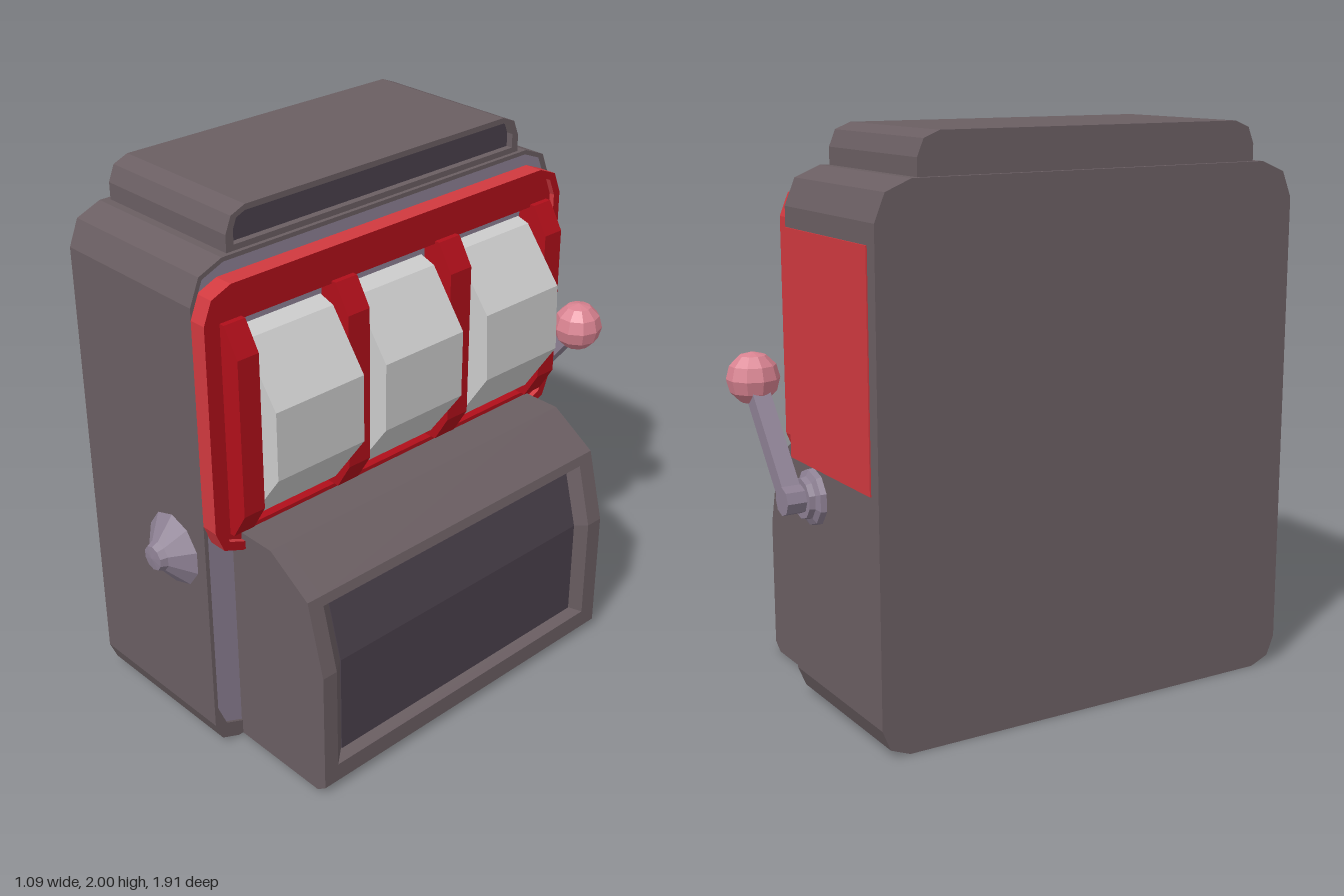
import * as THREE from 'three';

const mat = (color, side = THREE.FrontSide) => new THREE.MeshStandardMaterial({ color, flatShading: true, side });

export function createModel() {
  const model = new THREE.Group();
  const shell = mat(0x6a5e62), shellDouble = mat(0x6a5e62, THREE.DoubleSide);
  const dark = mat(0x4a404b), lilac = mat(0x8d8093);
  const brightRed = mat(0xd0393f), deepRed = mat(0xb00f1a), white = mat(0xcccccc), pink = mat(0xd98391);

  const add = (name, geometry, material) => {
    const mesh = new THREE.Mesh(geometry, material);
    mesh.name = name;
    model.add(mesh);
    return mesh;
  };

  // Rectangle in the z-y plane with corners cut in two steps
  const outline = (Type, z0, z1, y0, y1, r, rBottom = r) => {
    const k = 0.29;
    const corners = [[-z1, y0, 1, 1, rBottom], [-z0, y0, -1, 1, rBottom], [-z0, y1, -1, -1, r], [-z1, y1, 1, -1, r]];
    const pts = [];
    corners.forEach(([u, v, su, sv, c], i) => {
      if (!c) return pts.push(new THREE.Vector2(u, v));
      const arc = [[0, c], [k * c, k * c], [c, 0]];
      if (i % 2) arc.reverse();
      arc.forEach(([a, b]) => pts.push(new THREE.Vector2(u + su * a, v + sv * b)));
    });
    return new Type(pts);
  };

  // Slab running along x from x0 to x1
  const slab = (name, x0, x1, shape, material, holes = []) => {
    shape.holes = holes;
    const g = new THREE.ExtrudeGeometry(shape, { depth: x1 - x0, bevelEnabled: false });
    g.rotateY(Math.PI / 2).translate(x0, 0, 0);
    return add(name, g, material);
  };

  // Side profile (x, y) running along z
  const profile = (name, pts, z0, z1, material) => {
    const shape = new THREE.Shape(pts.map(p => new THREE.Vector2(...p)));
    const g = new THREE.ExtrudeGeometry(shape, { depth: z1 - z0, bevelEnabled: false });
    return add(name, g.translate(0, 0, z0), material);
  };

  // Cabinet with a raised front lip around a lilac inset
  slab('cabinet', -0.55, 0.07, outline(THREE.Shape, -0.78, 0.86, 0, 1.86, 0.13, 0.1), shell);
  slab('cabinetLip', 0.07, 0.095, outline(THREE.Shape, -0.78, 0.86, 0, 1.86, 0.13, 0.1), shell,
    [outline(THREE.Path, -0.765, 0.845, 0.05, 1.845, 0.12)]);
  slab('cabinetInset', 0.07, 0.085, outline(THREE.Shape, -0.765, 0.845, 0.05, 1.845, 0.12), lilac);

  // Top sign with a recessed panel
  slab('topSign', -0.53, 0.05, outline(THREE.Shape, -0.62, 0.70, 1.8, 2, 0.08, 0), shell);
  slab('topSignRim', 0.05, 0.08, outline(THREE.Shape, -0.62, 0.70, 1.8, 2, 0.08, 0), shell,
    [outline(THREE.Path, -0.59, 0.67, 1.88, 1.98, 0.05, 0)]);
  slab('topSignPanel', 0.045, 0.055, outline(THREE.Shape, -0.59, 0.67, 1.88, 1.98, 0.05, 0), dark);

  // Red reel surround: raised rim, recessed face with a window
  slab('reelFrameRim', 0.09, 0.16, outline(THREE.Shape, -0.77, 0.86, 0.83, 1.8, 0.11), [deepRed, brightRed],
    [outline(THREE.Path, -0.74, 0.83, 0.86, 1.775, 0.09)]);
  slab('reelFrameFace', 0.09, 0.14, outline(THREE.Shape, -0.74, 0.83, 0.86, 1.775, 0.09), deepRed,
    [outline(THREE.Path, -0.64, 0.71, 0.9, 1.66, 0)]);

  // Dividers between the reels
  for (const [z0, z1] of [[0.70, 0.785], [0.23, 0.325], [-0.25, -0.15], [-0.72, -0.635]]) {
    profile('reelDivider', [[0.09, 0.9], [0.16, 0.9], [0.22, 1.0], [0.22, 1.57], [0.16, 1.67], [0.09, 1.67]], z0, z1, deepRed);
  }

  // Ten-sided reels, the last one slightly turned
  for (const [z0, z1, turn] of [[0.325, 0.70, 0], [-0.14, 0.225, 0], [-0.635, -0.265, 0.04]]) {
    const g = new THREE.CylinderGeometry(0.404, 0.404, z1 - z0, 10);
    g.rotateY(Math.PI / 10).rotateX(Math.PI / 2);
    // Bring a flat side to the front
    g.computeBoundingBox();
    if (g.boundingBox.max.x > 0.4) g.rotateZ(Math.PI / 10);
    g.rotateZ(turn);
    add('reel', g, white).position.set(-0.09, 1.26, (z0 + z1) / 2);
  }

  // Console: end cheeks and a middle with a recessed screen
  const cheek = [[0.09, 0], [0.5, 0], [0.54, 0.03], [0.54, 0.5], [0.47, 0.77], [0.29, 0.885], [0.09, 0.885]];
  profile('consoleCheek', cheek, 0.68, 0.74, shell);
  profile('consoleCheek', cheek, -0.67, -0.60, shell);
  const outer = [[0.54, 0.1], [0.54, 0.5], [0.479, 0.735]];
  const inner = [[0.5, 0.12], [0.5, 0.5], [0.445, 0.71]];
  profile('consoleMiddle', [...cheek.slice(0, 3), outer[0], ...inner, outer[2], ...cheek.slice(4)], -0.60, 0.68, shell);
  profile('consoleScreen', [[0.3, 0.12], [0.504, 0.12], [0.504, 0.5], [0.449, 0.71], [0.3, 0.71]], -0.56, 0.63, dark);

  // Slanted side walls of the screen recess
  for (const [zo, zi] of [[0.68, 0.63], [-0.60, -0.56]]) {
    const pos = [], index = [];
    outer.forEach((p, i) => pos.push(...p, zo, ...inner[i], zi));
    for (let i = 0; i < 4; i += 2) index.push(i, i + 2, i + 1, i + 1, i + 2, i + 3);
    const g = new THREE.BufferGeometry();
    g.setAttribute('position', new THREE.Float32BufferAttribute(pos, 3));
    g.setIndex(index);
    g.computeVertexNormals();
    add('screenSideWall', g, shellDouble);
  }

  // Red panel on the lever side
  add('sidePanel', new THREE.BoxGeometry(0.59, 0.79, 0.01), brightRed).position.set(-0.205, 1.265, -0.78);

  // Turned parts on the sides; dir points outward along z
  const turned = (name, pts, z, dir) => {
    const g = new THREE.LatheGeometry(pts.map(p => new THREE.Vector2(...p)), 10);
    g.rotateX(dir * Math.PI / 2);
    add(name, g, lilac).position.set(-0.08, 0.77, z);
  };
  turned('sideKnob', [[0.135, 0], [0.055, 0.065], [0.045, 0.09], [0, 0.095]], 0.86, 1);
  turned('leverBase', [[0.1, 0], [0.095, 0.02], [0.075, 0.03], [0.07, 0.05], [0, 0.05]], -0.78, -1);

  // Lever arm and ball grip
  const from = new THREE.Vector2(-0.08, 0.77), to = new THREE.Vector2(0.21, 1.135);
  const angle = Math.atan2(to.y - from.y, to.x - from.x), length = from.distanceTo(to);
  const arm = add('leverArm', new THREE.BoxGeometry(length, 0.06, 0.065), lilac);
  arm.position.set((from.x + to.x) / 2, (from.y + to.y) / 2, -0.865);
  arm.rotation.z = angle;
  const hub = add('leverHub', new THREE.CylinderGeometry(0.05, 0.05, 0.075, 8), lilac);
  hub.rotation.x = Math.PI / 2;
  hub.position.set(from.x, from.y, -0.862);
  add('leverBall', new THREE.SphereGeometry(0.093, 10, 6), pink).position.set(to.x, to.y, -0.865);

  return model;
}
